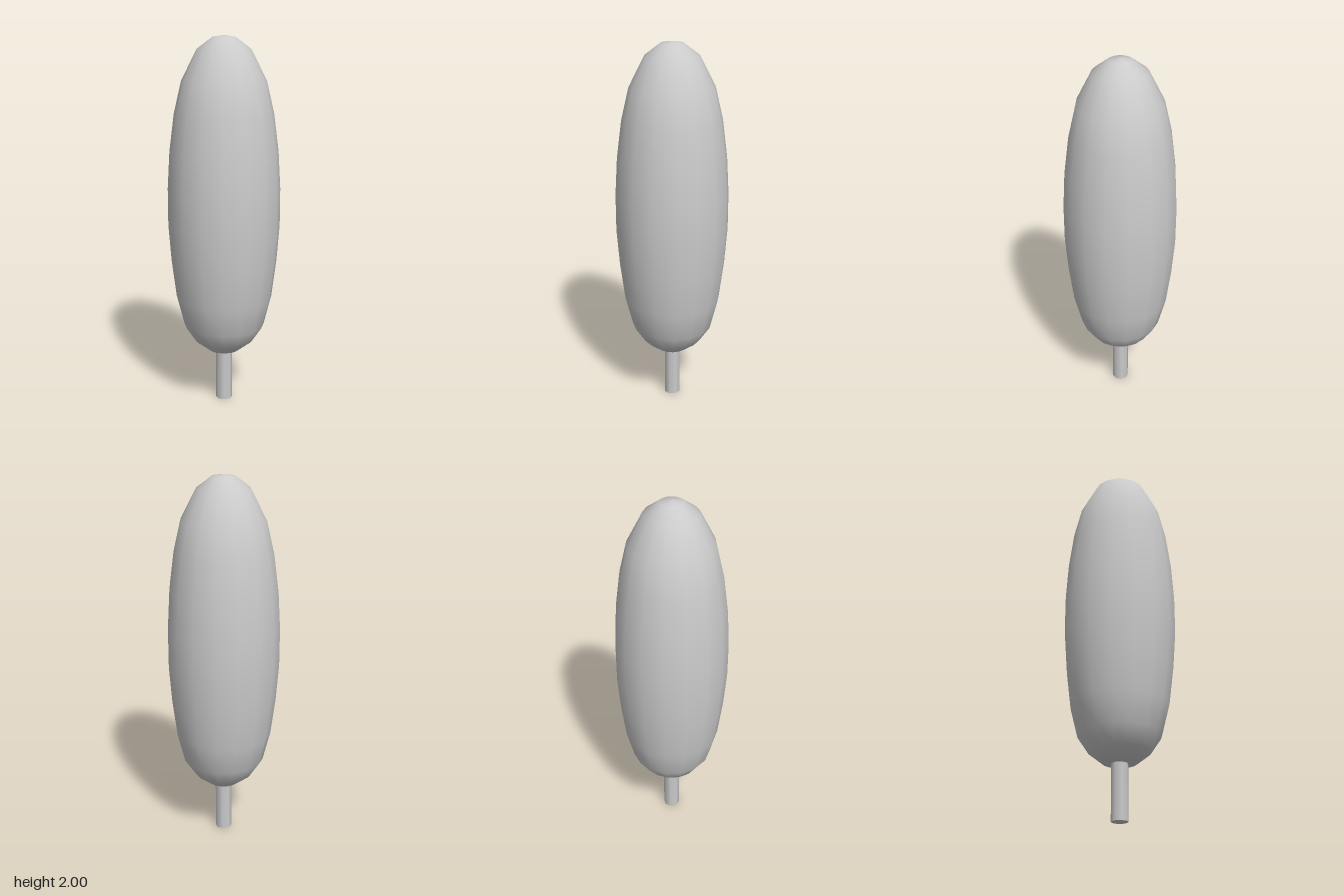
import * as THREE from 'three';

export function createModel() {
  const group = new THREE.Group();
  const material = new THREE.MeshStandardMaterial({ color: 0xcccccc });

  // Tall rounded crown: profile of [radius, height], fuller towards the base
  const profile = [
    [0, 0.29], [0.09, 0.295], [0.16, 0.35], [0.22, 0.44], [0.26, 0.6], [0.285, 0.8],
    [0.3, 1.0], [0.3, 1.2], [0.288, 1.4], [0.262, 1.6], [0.222, 1.77],
    [0.14, 1.93], [0.06, 1.99], [0, 2.0],
  ].map(([r, y]) => new THREE.Vector2(r, y));
  const crown = new THREE.Mesh(new THREE.LatheGeometry(profile, 16), material);
  crown.name = 'crown';
  group.add(crown);

  // Thin trunk, running slightly into the crown
  const trunk = new THREE.Mesh(new THREE.CylinderGeometry(0.045, 0.045, 0.34, 8), material);
  trunk.name = 'trunk';
  trunk.position.y = 0.17;
  group.add(trunk);

  return group;
}
